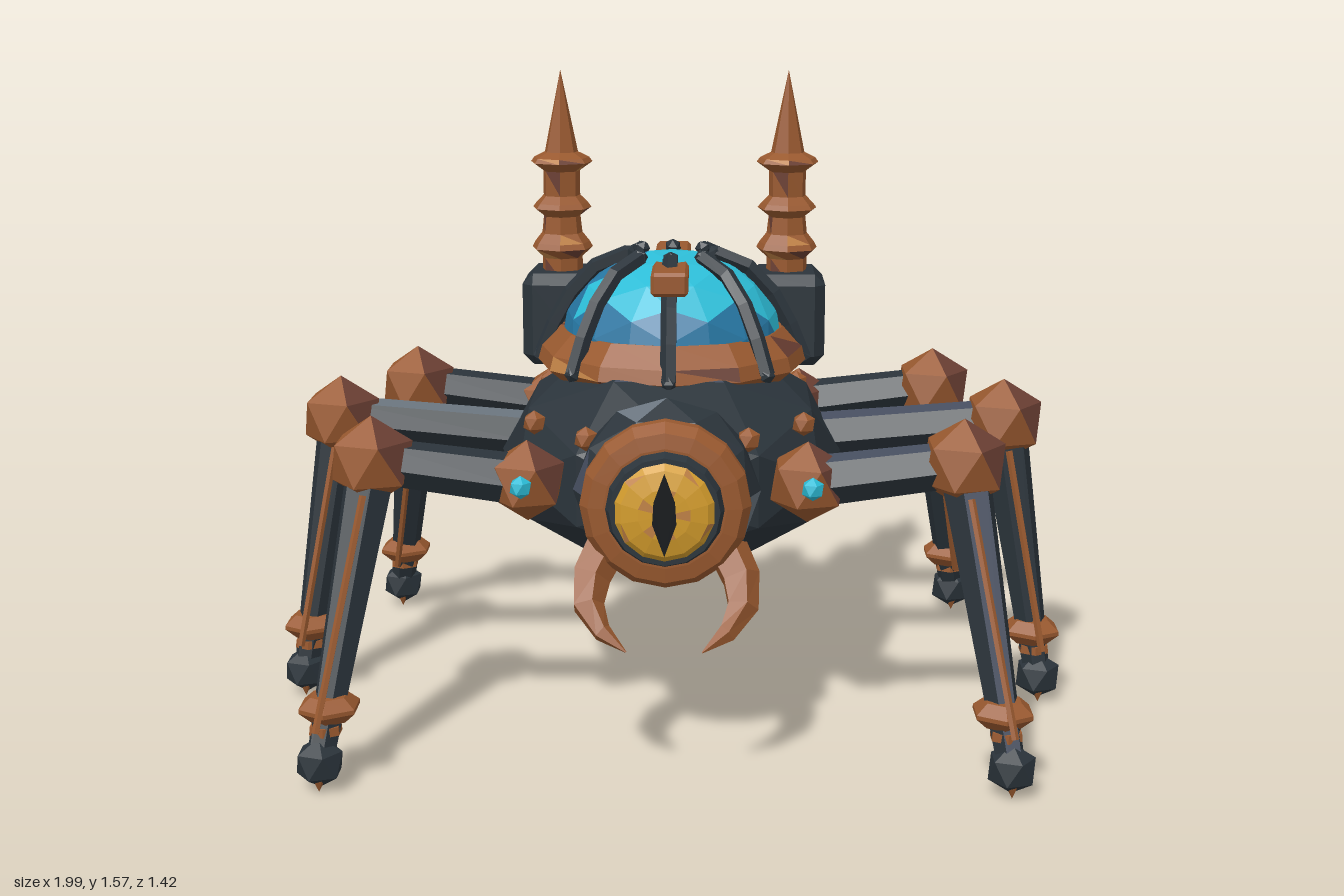
import * as THREE from 'three';
import { ConvexGeometry } from 'three/addons/geometries/ConvexGeometry.js';

const V = (x, y, z) => new THREE.Vector3(x, y, z);

function paint(name, color) {
  const m = new THREE.MeshStandardMaterial({ color, flatShading: true });
  m.name = name;
  return m;
}

export function createModel() {
  const iron = paint('dark iron', 0x2b343b);
  const steel = paint('blue steel', 0x474f60);
  const slate = paint('slate', 0x6a757f);
  const copper = paint('copper', 0x99592f);
  const rust = paint('dark copper', 0x6b3f33);
  const brass = paint('light copper', 0xbf8145);
  const glass = paint('cyan glass', 0x2cbcd6);
  const blue = paint('blue glass', 0x2676a2);
  const gold = paint('gold', 0xd39c2c);
  const black = paint('black', 0x14171a);
  const ironSet = [iron, steel, slate];
  const copperSet = [copper, rust, brass];

  const model = new THREE.Group();
  model.name = 'clockworkSpider';

  const add = (name, geo, mat, pos = V(0, 0, 0), parent = model) => {
    const mesh = new THREE.Mesh(geo, mat);
    mesh.name = name;
    mesh.position.copy(pos);
    parent.add(mesh);
    return mesh;
  };

  // Gives each facet a material index chosen by rule(centre, normal, facetNumber)
  const tint = (geo, rule) => {
    const g = geo.index ? geo.toNonIndexed() : geo;
    const p = g.attributes.position;
    const tri = new THREE.Triangle();
    const c = V(), n = V();
    g.clearGroups();
    for (let i = 0; i < p.count; i += 3) {
      tri.setFromAttributeAndIndices(p, i, i + 1, i + 2);
      tri.getMidpoint(c);
      tri.getNormal(n);
      g.addGroup(i, 3, rule(c, n, i / 3));
    }
    return g;
  };
  const patchy = (c, n, i) => (i % 17 === 3 ? 1 : i % 19 === 6 ? 2 : 0);

  // Tapered bar from a to b, in model space
  const bar = (a, b, r1, r2, sides = 6) => {
    const d = b.clone().sub(a);
    const g = new THREE.CylinderGeometry(r2, r1, d.length(), sides);
    g.applyQuaternion(new THREE.Quaternion().setFromUnitVectors(V(0, 1, 0), d.clone().normalize()));
    return g.translate((a.x + b.x) / 2, (a.y + b.y) / 2, (a.z + b.z) / 2);
  };

  const lathe = (pts, sides) =>
    new THREE.LatheGeometry(pts.map(([x, y]) => new THREE.Vector2(x, y)), sides);

  // Twenty-sided ball standing on a corner, and its copper version with odd plates
  const gem = (r) => new THREE.IcosahedronGeometry(r, 0).rotateZ(-0.5536);
  const ball = (r) => tint(gem(r), (c, n) =>
    (n.dot(V(0.61, 0.51, 0.61)) > 0.9 ? 1 : n.dot(V(0.61, 0.51, -0.61)) > 0.9 ? 2 : 0));

  // Box with every edge cut at 45 degrees
  const chamferBox = (x, y, z, c) => {
    const pts = [];
    for (const i of [-1, 1]) for (const j of [-1, 1]) for (const k of [-1, 1]) {
      pts.push(V(i * x, j * (y - c), k * (z - c)), V(i * (x - c), j * y, k * (z - c)), V(i * (x - c), j * (y - c), k * z));
    }
    return new ConvexGeometry(pts);
  };

  // Body and head
  add('body', tint(new THREE.IcosahedronGeometry(1, 1).scale(0.43, 0.285, 0.5),
    (c, n, i) => (Math.abs(c.x) > 0.29 && c.y > -0.05 && c.y < 0.12 && c.z < 0 && c.z > -0.17 ? 2 : i % 13 === 5 ? 1 : 0)),
  ironSet, V(0, 0.635, -0.02));
  add('head', tint(new THREE.IcosahedronGeometry(0.22, 1).scale(1, 1, 0.65),
    (c, n, i) => (i % 11 === 4 ? 2 : i % 11 === 8 ? 1 : 0)), ironSet, V(0, 0.65, 0.42));

  // Eye
  const eye = new THREE.Group();
  eye.name = 'eye';
  eye.position.set(0, 0.655, 0.52);
  model.add(eye);
  add('eyeHousing', lathe([[0, 0], [0.18, 0], [0.195, 0.02], [0.195, 0.05], [0.175, 0.08], [0.14, 0.085], [0, 0.085]], 16)
    .rotateX(Math.PI / 2), copper, V(0, 0, 0), eye);
  add('eyeRim', new THREE.CylinderGeometry(0.125, 0.14, 0.04, 16).rotateX(Math.PI / 2), iron, V(0, 0, 0.09), eye);
  add('iris', tint(lathe([[0.115, 0], [0.1, 0.015], [0.06, 0.025], [0, 0.028]], 14).rotateX(Math.PI / 2),
    (c, n, i) => (i % 9 === 4 ? 1 : 0)), [gold, brass], V(0, 0, 0.109), eye);
  const slit = new THREE.Shape([[0, -0.095], [0.027, -0.02], [0.024, 0.03], [0, 0.095], [-0.024, 0.03], [-0.027, -0.02]]
    .map(([x, y]) => new THREE.Vector2(x, y)));
  add('pupil', new THREE.ExtrudeGeometry(slit, { depth: 0.008, bevelEnabled: false }), black, V(0, 0, 0.131), eye);

  // Glass dome with its collar, ribs and top vents
  const dome = new THREE.Group();
  dome.name = 'dome';
  dome.position.set(0, 0, -0.09);
  model.add(dome);
  add('glassDome', tint(new THREE.IcosahedronGeometry(1, 2).scale(0.285, 0.24, 0.285),
    (c) => (c.y < 0.12 && c.z > 0.1 || c.x < -0.07 && Math.abs(c.z + 0.03) < 0.12 ? 1 : 0)),
  [glass, blue], V(0, 0.9, 0), dome);
  add('collar', tint(lathe([[0.31, 0.83], [0.345, 0.86], [0.335, 0.895], [0.285, 0.945], [0.255, 0.94]], 12), patchy),
    copperSet, V(0, 0, 0), dome);
  for (let i = 0; i < 8; i++) {
    const path = new THREE.CatmullRomCurve3([V(0.335, 0.865, 0), V(0.285, 0.98, 0), V(0.21, 1.085, 0), V(0.11, 1.13, 0)]);
    const rib = add('domeRib', new THREE.TubeGeometry(path, 4, 0.021, 5), iron, V(0, 0, 0), dome);
    rib.rotation.y = i * Math.PI / 4;
    for (const [x, y] of [[0.336, 0.865], [0.11, 1.13]]) {
      add('ribEnd', new THREE.IcosahedronGeometry(0.021, 0), iron, V(x, y, 0), rib);
    }
  }
  for (const s of [1, -1]) {
    add('ventBar', chamferBox(0.045, 0.029, 0.1, 0.008), copper, V(0, 1.092, s * 0.17), dome);
  }

  const spireProfile = [[0.055, 1.02], [0.055, 1.075], [0.083, 1.1], [0.075, 1.115], [0.055, 1.14], [0.05, 1.185],
    [0.08, 1.207], [0.07, 1.22], [0.05, 1.24], [0.05, 1.305], [0.084, 1.328], [0.075, 1.34], [0.045, 1.355], [0, 1.57]];
  // hip, knee, foot of each leg on the +x side
  const legs = [
    ['frontLeg', V(0.33, 0.66, 0.38), V(0.69, 0.715, 0.41), V(0.79, 0.065, 0.66)],
    ['middleLeg', V(0.34, 0.655, -0.08), V(0.84, 0.715, -0.025), V(0.94, 0.065, 0.06)],
    ['rearLeg', V(0.34, 0.66, -0.445), V(0.7, 0.715, -0.41), V(0.8, 0.065, -0.66)],
  ];

  for (const s of [1, -1]) {
    const side = s > 0 ? 'left' : 'right';
    const M = (v) => V(v.x * s, v.y, v.z);

    // Spire on its block
    add(side + 'SpireBlock', chamferBox(0.1, 0.122, 0.114, 0.028), iron, V(s * 0.3, 0.92, -0.38));
    add(side + 'Spire', tint(lathe(spireProfile, 7), patchy), copperSet, V(s * 0.3, 0, -0.38));

    // Curved fang with a shrinking cross-section
    const curve = new THREE.CatmullRomCurve3([V(0.14, 0.54, 0.53), V(0.175, 0.47, 0.58), V(0.165, 0.405, 0.635), V(0.085, 0.345, 0.685)].map(M));
    const fang = new THREE.TubeGeometry(curve, 4, 0.05, 5);
    const p = fang.attributes.position;
    for (let i = 0; i < p.count; i++) {
      const t = Math.floor(i / 6) / 4;
      const c = curve.getPointAt(t);
      const v = V().fromBufferAttribute(p, i).sub(c).multiplyScalar(1 - 0.97 * t * t).add(c);
      p.setXYZ(i, v.x, v.y, v.z);
    }
    add(side + 'Fang', fang, copper);

    // Rivets
    for (const [x, y, z] of [[0.325, 0.765, 0.235], [0.325, 0.765, -0.235], [0.19, 0.765, 0.395]]) {
      add('rivet', gem(0.03), copper, V(s * x, y, z));
    }

    // Legs
    for (const [name, hip0, knee0, foot0] of legs) {
      const leg = new THREE.Group();
      leg.name = side + name[0].toUpperCase() + name.slice(1);
      model.add(leg);
      const [hip, knee, foot] = [hip0, knee0, foot0].map(M);
      const along = (t) => knee.clone().lerp(foot, t);
      const isFront = name === 'frontLeg', isMiddle = name === 'middleLeg';
      const topTone = s > 0 ? (isFront || isMiddle ? 1 : 0) : (isMiddle ? 2 : 0);
      if (!isMiddle) {
        add('hip', ball(0.098), copperSet, hip, leg);
        add('hipLight', gem(0.028), glass, hip.clone().add(V(s * 0.008, 0.006, 0.087)), leg);
      }
      add('upperLeg', tint(bar(hip, knee, 0.062, 0.055), (c, n) => (n.y > 0.85 ? topTone : 0)),
        ironSet, V(0, 0, 0), leg);
      add('knee', ball(0.107), copperSet, knee, leg);
      add('lowerLeg', tint(bar(knee, foot, 0.062, 0.033), (c, n) => (isFront && s > 0 && n.z > 0.8 ? 1 : 0)),
        ironSet, V(0, 0, 0), leg);
      add('ankleRing', lathe([[0, -0.032], [0.045, -0.03], [0.074, -0.004], [0.074, 0.006], [0.045, 0.03], [0, 0.032]], 6),
        copper, along(0.82), leg);
      add('ankleCuff', new THREE.CylinderGeometry(0.038, 0.04, 0.02, 6), copper, along(0.89), leg);
      add('foot', gem(0.06), iron, foot, leg);
      add('toeSpike', new THREE.ConeGeometry(0.02, 0.04, 5).rotateX(Math.PI), copper, foot.clone().add(V(0, -0.045, 0.02)), leg);
      // Thin piston beside the lower leg
      add('piston', bar(along(0.1).add(V(0, 0, 0.055)), along(0.87).add(V(s * 0.012, 0, 0.072)), 0.009, 0.009, 5),
        copper, V(0, 0, 0), leg);
    }
  }
  return model;
}
